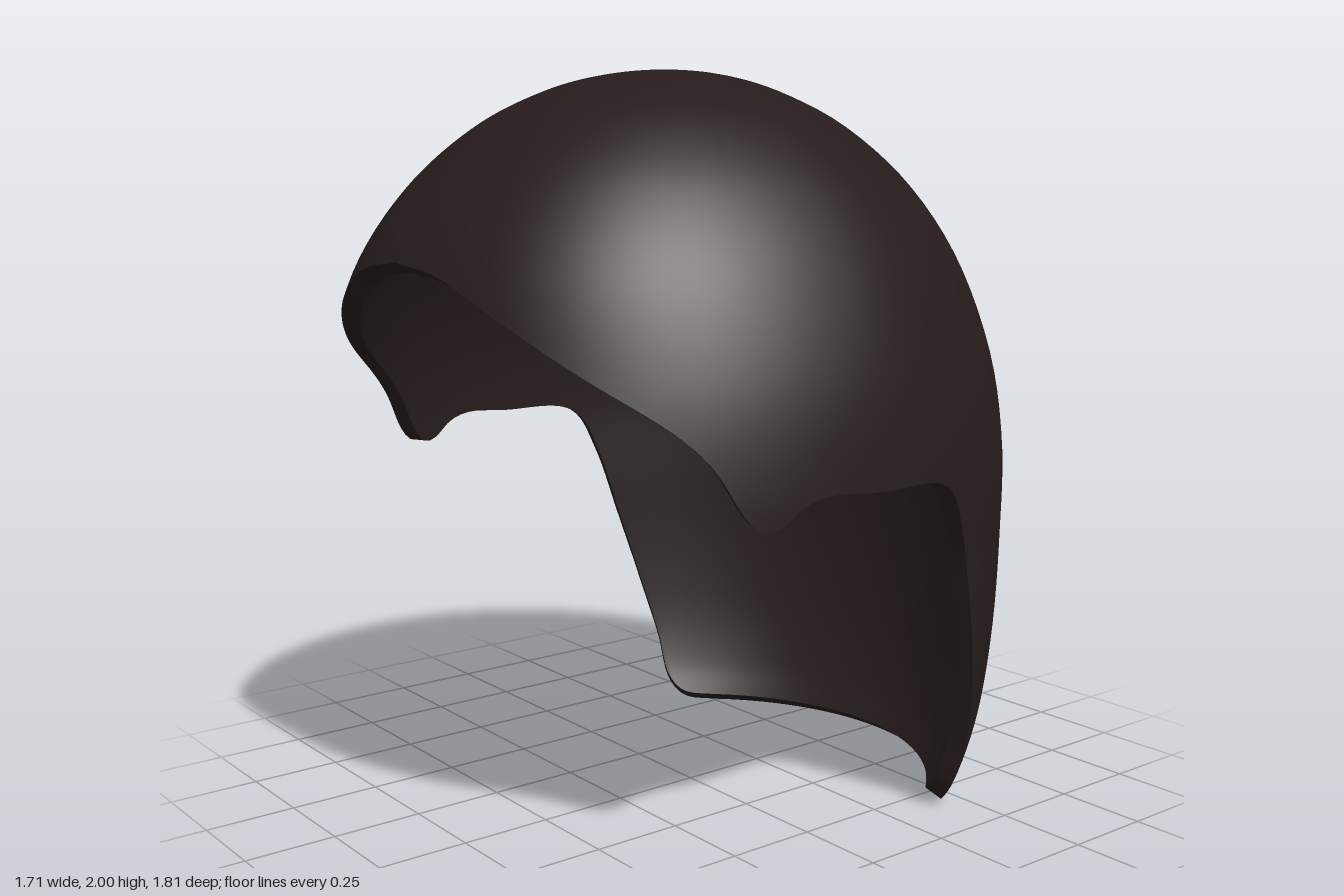
import * as THREE from 'three';

// Level profile from crown to nape: height, half width, depth forward, depth back
const HEIGHT = [2, 1.985, 1.94, 1.85, 1.7, 1.5, 1.25, 1, 0.75, 0.5, 0.27, 0.1, 0];
const WIDTH = [0, 0.15, 0.285, 0.44, 0.597, 0.726, 0.818, 0.854, 0.85, 0.844, 0.825, 0.785, 0.735];
const FRONT = [0, 0.174, 0.342, 0.522, 0.698, 0.836, 0.92, 0.99, 1.03, 1.03, 1, 0.95, 0.9];
const BACK = [0, 0.166, 0.329, 0.511, 0.69, 0.832, 0.93, 0.975, 0.982, 0.966, 0.925, 0.868, 0.812];
const CENTRE_Z = 0.08;

// Lower edge of the left half: angle from the front in degrees, height
const EDGE = [
  [0, 1.52], [15, 1.492], [29, 1.405], [43.5, 1.285], [57, 1.16], [62.5, 1.08], [67.5, 0.96],
  [69.7, 0.93], [72, 0.932], [76, 0.98], [80, 0.998], [89, 0.99], [101, 0.985], [105.3, 0.95],
  [109, 0.83], [113.2, 0.62], [118.5, 0.37], [122.3, 0.2], [125, 0.06], [128.5, 0.012],
  [136, 0], [157, 0], [180, 0],
];

// Smooth interpolation through a table; odd tables mirror their sign past the crown
function sample(table, u, odd) {
  const n = table.length - 1;
  const i = Math.min(Math.floor(u), n - 1), t = u - i;
  const at = (k) => k < 0 ? (odd ? -table[1] : table[1])
    : k > n ? 2 * table[n] - table[n - 1] : table[k];
  const a = at(i - 1), b = at(i), c = at(i + 1), d = at(i + 2);
  return b + 0.5 * t * (c - a + t * (2 * a - 5 * b + 4 * c - d + t * (3 * (b - c) + d - a)));
}

function levelAt(y) {
  let lo = 0, hi = HEIGHT.length - 1;
  for (let k = 0; k < 40; k++) {
    const mid = (lo + hi) / 2;
    if (sample(HEIGHT, mid, false) > y) lo = mid; else hi = mid;
  }
  return (lo + hi) / 2;
}

// Point on the shell; inner points are drawn in by the thickness
function shellPoint(angle, u, inner) {
  const y = sample(HEIGHT, u, false), c = Math.cos(angle);
  // The front quarters are slightly fuller than an ellipse
  const fullness = c > 0 ? 1 + 0.025 * Math.sin(2 * angle) ** 2 : 1;
  const k = (inner ? 0.945 : 1) * fullness;
  const depth = sample(c > 0 ? FRONT : BACK, u, true);
  // The lining ends a little above the outer edge at the nape
  const innerY = y > 1 ? 1 + (y - 1) * 0.95 : y + 0.03 * (1 - y) ** 2;
  return [
    k * sample(WIDTH, u, true) * Math.sin(angle),
    inner ? innerY : y,
    CENTRE_Z + k * depth * c,
  ];
}

// Closed loop of columns, each a list of points from top to bottom
function skin(columns, flip) {
  const rows = columns[0].length, count = columns.length;
  const index = [];
  for (let j = 0; j < count; j++) {
    for (let i = 0; i < rows - 1; i++) {
      const a = j * rows + i, b = a + 1;
      const c = ((j + 1) % count) * rows + i, d = c + 1;
      if (flip) index.push(a, c, b, b, c, d);
      else index.push(a, b, c, b, d, c);
    }
  }
  const geometry = new THREE.BufferGeometry();
  geometry.setAttribute('position', new THREE.Float32BufferAttribute(columns.flat(2), 3));
  geometry.setIndex(index);
  geometry.computeVertexNormals();
  return geometry;
}

export function createModel() {
  const group = new THREE.Group();
  group.name = 'helmetShapedHair';
  const material = new THREE.MeshStandardMaterial({ color: 0x271c1c });
  material.name = 'darkBrown';

  // Edge line on the left half, mirrored to the right
  const curve = new THREE.CatmullRomCurve3(
    EDGE.map(([deg, y]) => new THREE.Vector3(deg / 70, y, 0)), false, 'centripetal');
  const half = curve.getSpacedPoints(140).map((p) => ({
    angle: THREE.MathUtils.degToRad(p.x * 70),
    level: levelAt(Math.max(p.y, 0)),
  }));
  const mirrored = half.slice(1, -1).reverse()
    .map(({ angle, level }) => ({ angle: 2 * Math.PI - angle, level }));
  const edge = [...half, ...mirrored];

  const rows = 56;
  const shell = (inner) => {
    const columns = edge.map(({ angle, level }) =>
      Array.from({ length: rows + 1 }, (_, i) => shellPoint(angle, level * i / rows, inner)));
    const geometry = skin(columns, inner);
    // Even shading at the crown
    for (let j = 0; j < columns.length; j++) {
      geometry.attributes.normal.setXYZ(j * (rows + 1), 0, inner ? -1 : 1, 0);
    }
    return geometry;
  };

  // Narrow band joining the outer and inner edges
  const rim = skin(edge.map(({ angle, level }) =>
    [shellPoint(angle, level, false), shellPoint(angle, level, true)]), false);

  const parts = { outerShell: shell(false), innerLining: shell(true), rim };
  for (const [name, geometry] of Object.entries(parts)) {
    const mesh = new THREE.Mesh(geometry, material);
    mesh.name = name;
    group.add(mesh);
  }
  return group;
}
